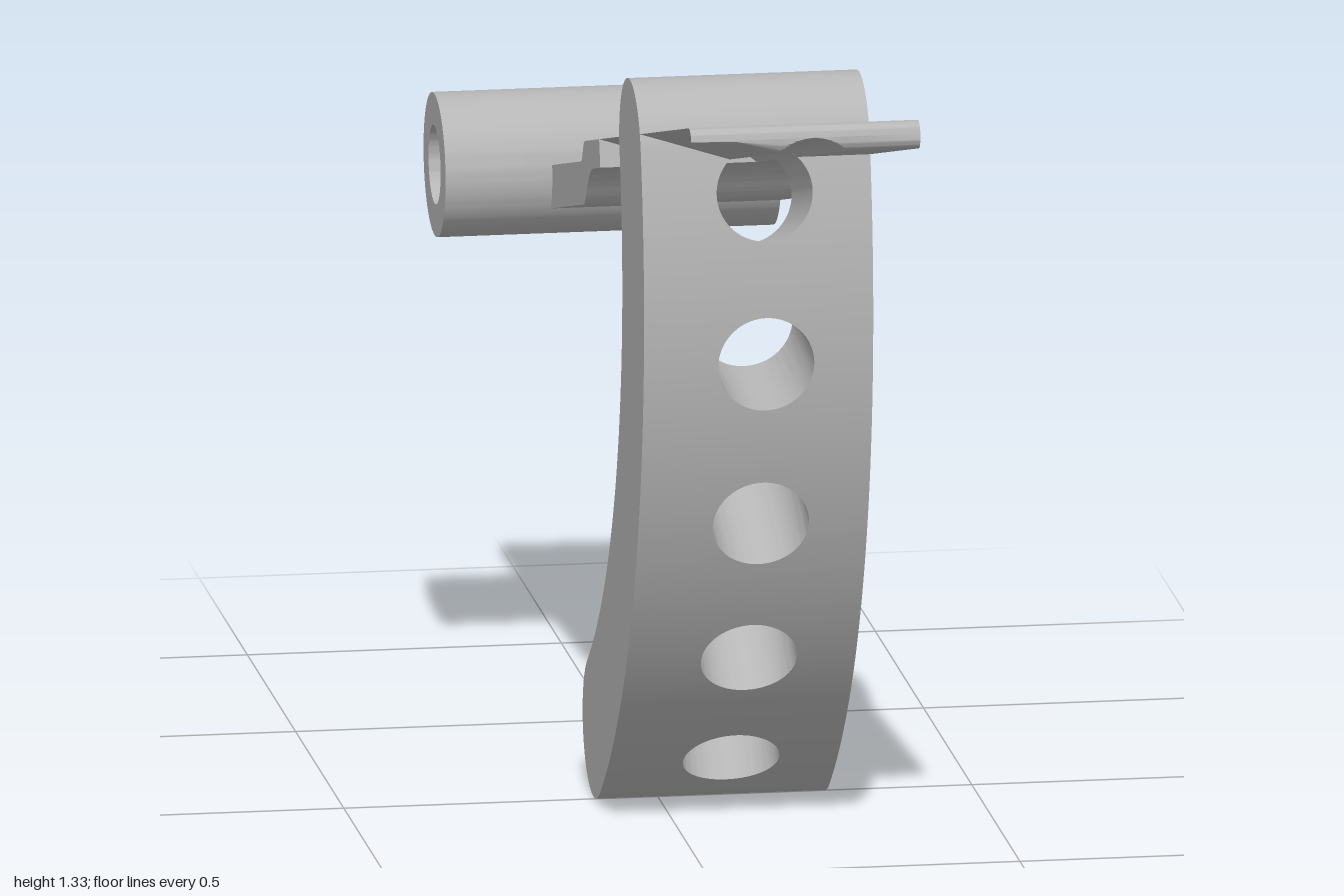
import * as THREE from 'three';
import { toCreasedNormals } from 'three/addons/utils/BufferGeometryUtils.js';

const X0 = -0.10, X1 = 0.265;         // lever width
const XH = 0.095, RH = 0.0765;        // hole centre line and radius
const R = 0.953, T = 0.113;           // arc mid radius and half thickness
const rad = THREE.MathUtils.degToRad;
const END = rad(-70.4);

// Shape through a list of (along, up) points
const outline = points => new THREE.Shape(points.map(p => new THREE.Vector2(...p)));

// Extrudes a side profile sideways from x0 to x1
function slab(shape, x0, x1) {
  const geo = new THREE.ExtrudeGeometry(shape, { depth: x1 - x0, bevelEnabled: false, curveSegments: 48 });
  geo.rotateY(-Math.PI / 2).translate(x1, 0, 0);
  return toCreasedNormals(geo, 0.5);
}

// Curved band pierced by holes: each cell runs from its rim, through the hole, to the inner rim
function piercedBand() {
  const cells = [
    { dir: 0, off: -0.077, top: 0, bottom: rad(-11.5) },
    ...[-19, -34, -49, -64].map((d, i) => ({
      dir: rad(d), off: 0, top: rad(d + 7.5), bottom: i === 3 ? END : rad(d - 7.5),
    })),
  ];
  const N = 64, F = 6, W = 4, pos = [], idx = [];
  const path = [];
  for (let i = F; i >= 0; i--) path.push([R + T, i / F]);
  for (let i = 1; i < W; i++) path.push([R + T - 2 * T * i / W, 0]);
  for (let i = 0; i <= F; i++) path.push([R - T, i / F]);
  const clamp = v => Math.max(-1, Math.min(1, v * Math.SQRT2));
  for (const c of cells) {
    const base = pos.length / 3, mid = c.dir + c.off / R;
    for (const [r, f] of path) {
      for (let k = 0; k <= N; k++) {
        const p = k / N * Math.PI * 2, cx = clamp(Math.cos(p)), cy = clamp(Math.sin(p));
        const hx = XH + RH * Math.cos(p);
        const ha = c.dir + Math.asin((c.off + RH * Math.sin(p)) / r);
        const ex = XH + cx * (cx > 0 ? X1 - XH : XH - X0);
        const ea = mid + cy * (cy > 0 ? c.top - mid : mid - c.bottom);
        const a = ha + (ea - ha) * f;
        pos.push(hx + (ex - hx) * f, r * Math.sin(a), r * Math.cos(a));
      }
    }
    for (let j = 0; j < path.length - 1; j++) {
      for (let k = 0; k < N; k++) {
        const a = base + j * (N + 1) + k, d = a + N + 1;
        idx.push(a, a + 1, d + 1, a, d + 1, d);
      }
    }
  }
  const geo = new THREE.BufferGeometry();
  geo.setAttribute('position', new THREE.Float32BufferAttribute(pos, 3));
  geo.setIndex(idx);
  return toCreasedNormals(geo, 0.5);
}

// Flat side of the arc with its two round ends, facing -x or +x
function armSide(x, facing) {
  const s = new THREE.Shape();
  s.absarc(0, 0, R + T, END, 0, false);
  s.absarc(R, 0, T, 0, Math.PI, false);
  s.absarc(0, 0, R - T, 0, END, true);
  s.absarc(R * Math.cos(END), R * Math.sin(END), T, END - Math.PI, END, false);
  const geo = new THREE.ShapeGeometry(s, 64).rotateY(-Math.PI / 2).translate(x, 0, 0);
  if (facing > 0) geo.setIndex(Array.from(geo.index.array).reverse());
  geo.computeVertexNormals();
  return geo;
}

// Half-round end of the arc
function roundEnd(angle, start) {
  const geo = new THREE.CylinderGeometry(T, T, X1 - X0, 32, 1, true, start, Math.PI);
  geo.rotateZ(Math.PI / 2);
  return geo.translate((X0 + X1) / 2, R * Math.sin(angle), R * Math.cos(angle));
}

// Front tongue: grooved cross-section run forward, thinning to a rounded tip
function tongue(h, from, tip) {
  const off = -0.077, half = Math.acos((-h - off) / RH);
  const s = new THREE.Shape();
  s.moveTo(X0, -h);
  s.absarc(XH, off, RH, Math.PI / 2 + half, Math.PI / 2 - half, true);
  s.lineTo(X1, -h);
  s.lineTo(X1, h);
  s.lineTo(X0, h);
  const steps = 9;
  const geo = new THREE.ExtrudeGeometry(s, { depth: steps, steps, bevelEnabled: false, curveSegments: 24 });
  const p = geo.attributes.position;
  for (let i = 0; i < p.count; i++) {
    const k = Math.round(p.getZ(i));
    const a = Math.max(0, k - 1) / (steps - 1) * Math.PI / 2;
    const lim = h * Math.cos(a);
    p.setY(i, Math.max(-lim, Math.min(lim, p.getY(i))));
    p.setZ(i, k === 0 ? from : tip + h * Math.sin(a));
  }
  return toCreasedNormals(geo, 0.5);
}

export function createModel() {
  const grey = new THREE.MeshStandardMaterial({ color: 0xb6b6b6 });
  grey.name = 'grey';
  const model = new THREE.Group();
  model.name = 'lever';
  // Everything is laid out around the hinge axis, with the plate along +z
  const body = new THREE.Group();
  body.name = 'leverBody';
  body.position.set(0, 0.8975, -0.5565);
  body.rotation.x = rad(-15);
  model.add(body);
  const add = (name, geo) => {
    const mesh = new THREE.Mesh(geo, grey);
    mesh.name = name;
    body.add(mesh);
  };

  // Hinge tube
  const ring = new THREE.Shape();
  ring.absarc(0, 0, 0.1145, 0, Math.PI * 2, false);
  const bore = new THREE.Path();
  bore.absarc(0, 0, 0.063, 0, Math.PI * 2, true);
  ring.holes.push(bore);
  add('hingeTube', slab(ring, -0.27, X1));

  // Thick tail with a shallow pocket
  const top = -0.009, low = -0.077, h = 0.0225, floor = top - 0.025;
  const back = -0.463, join = 0.627;
  const tail = outline([[back, low], [-0.075, low], [-0.075, top], [back, top]]);
  add('tailRightRim', slab(tail, X0, 0.01));
  add('tailLeftRim', slab(tail, 0.21, X1));
  add('tailPocket', slab(outline([[back, low], [-0.075, low], [-0.075, top], [-0.133, top],
    [-0.133, floor], [-0.408, floor], [-0.408, top], [back, top]]), 0.01, 0.21));

  // Neck with a curved step, then the thin tongue
  const neck = new THREE.Shape();
  neck.moveTo(0.075, low);
  neck.lineTo(0.44, low);
  neck.bezierCurveTo(0.475, -0.065, 0.49, -h, 0.558, -h);
  neck.lineTo(join, -h);
  neck.lineTo(join, h);
  neck.lineTo(0.475, h);
  neck.bezierCurveTo(0.45, h, 0.445, top, 0.42, top);
  neck.lineTo(0.075, top);
  add('neckPlate', slab(neck, X0, X1));
  add('groovedTongue', tongue(h, join, 1.587));

  // Curved arm
  add('armBand', piercedBand());
  add('armTopEnd', roundEnd(0, 0));
  add('armBottomEnd', roundEnd(END, END - Math.PI));
  add('armRightSide', armSide(X0, -1));
  add('armLeftSide', armSide(X1, 1));
  return model;
}
